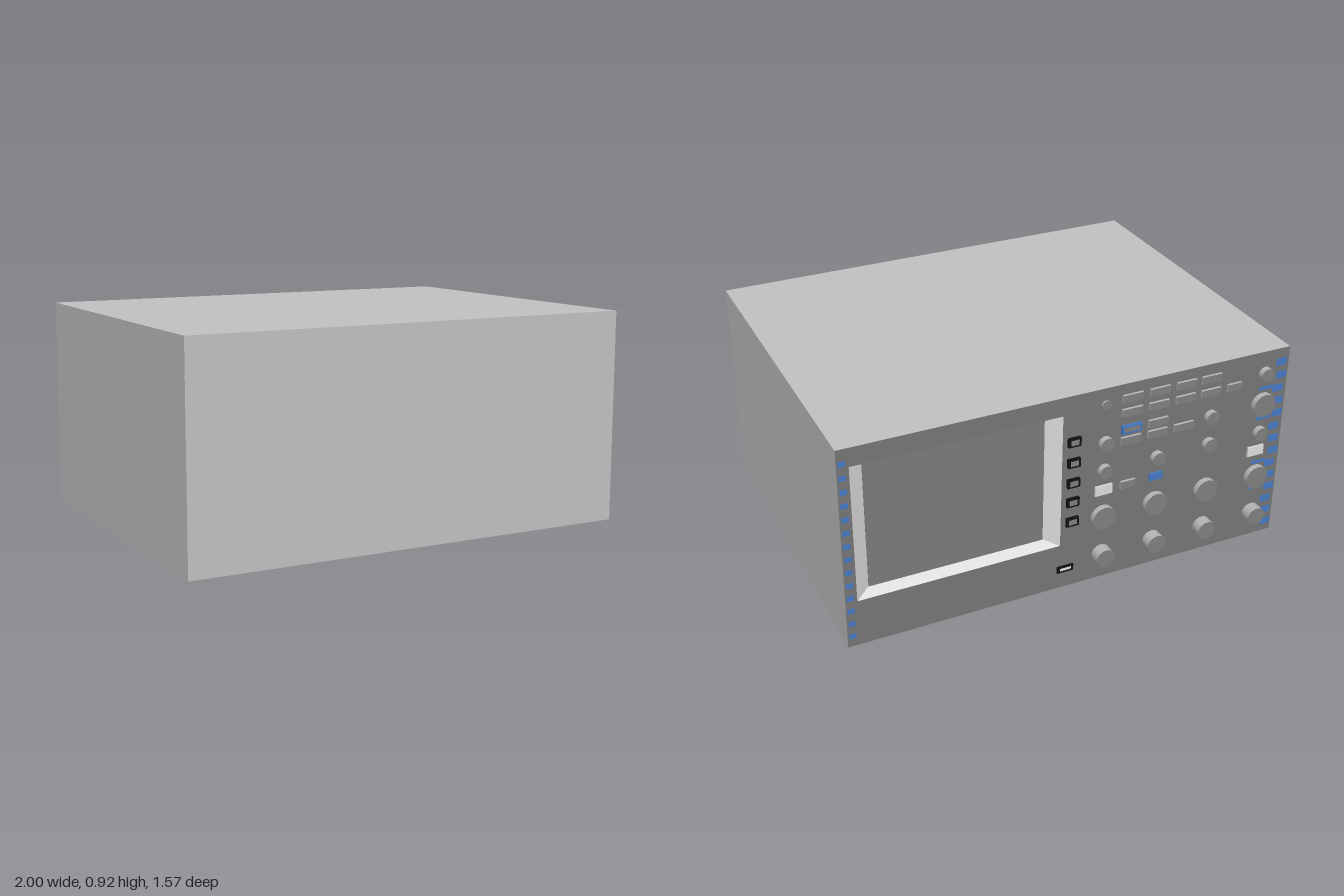
import * as THREE from 'three';

const mat = (name, color, side = THREE.FrontSide) => {
  const m = new THREE.MeshStandardMaterial({ color, side });
  m.name = name;
  return m;
};

export function createModel() {
  const caseGrey = mat('case grey', 0xc0c0c0);
  const panelGrey = mat('panel grey', 0x757575);
  const screenGrey = mat('screen grey', 0x7a7a7a);
  const controlGrey = mat('control side grey', 0xb4b4b4);
  const faceGrey = mat('control face grey', 0x7e7e7e);
  const bezelLight = mat('bezel light grey', 0xdcdcdc, THREE.DoubleSide);
  const black = mat('black', 0x101010);
  const blue = mat('blue', 0x4478c5);

  const model = new THREE.Group();
  model.name = 'benchInstrument';
  const PANEL = -0.735, FLOOR = -0.685, FRONT = 0.785, H = 0.92;

  const add = (name, geometry, material, x = 0, y = 0, z = 0) => {
    const mesh = new THREE.Mesh(geometry, material);
    mesh.name = name;
    mesh.position.set(x, y, z);
    model.add(mesh);
    return mesh;
  };
  // block standing out from the panel, with its own outward face
  const block = (name, x, y, w, h, d, side, face = side) =>
    add(name, new THREE.BoxGeometry(w, h, d), [side, side, side, side, side, face], x, y, PANEL - d / 2);
  // round knob standing out from the panel
  const knob = (name, x, y, r, d) => {
    const g = new THREE.CylinderGeometry(r, r, d, 32).rotateX(-Math.PI / 2);
    return add(name, g, [controlGrey, faceGrey, faceGrey], x, y, PANEL - d / 2);
  };

  // case
  const depth = FRONT - FLOOR;
  add('case', new THREE.BoxGeometry(2, H, depth), caseGrey, 0, H / 2, FLOOR + depth / 2);

  // control panel slab with the display opening
  const rect = (P, x0, y0, x1, y1) => {
    const p = new P();
    p.moveTo(x0, y0);
    p.lineTo(x1, y0);
    p.lineTo(x1, y1);
    p.lineTo(x0, y1);
    p.closePath();
    return p;
  };
  const outer = [0.06, 0.215, 0.95, 0.837];
  const inner = [0.118, 0.234, 0.885, 0.81];
  const slab = rect(THREE.Shape, -1, 0, 1, H);
  slab.holes.push(rect(THREE.Path, ...outer));
  const slabGeometry = new THREE.ExtrudeGeometry(slab, { depth: FLOOR - PANEL, bevelEnabled: false });
  add('controlPanel', slabGeometry, [panelGrey, caseGrey], 0, 0, PANEL);

  // sloping bezel from the opening down to the screen
  const ring = ([x0, y0, x1, y1], z) => [[x0, y0, z], [x1, y0, z], [x1, y1, z], [x0, y1, z]];
  const a = ring(outer, PANEL), b = ring(inner, FLOOR - 0.001);
  const points = [];
  for (let i = 0; i < 4; i++) {
    const j = (i + 1) % 4;
    points.push(...a[i], ...b[i], ...b[j], ...a[i], ...b[j], ...a[j]);
  }
  const bezel = new THREE.BufferGeometry();
  bezel.setAttribute('position', new THREE.Float32BufferAttribute(points, 3));
  bezel.computeVertexNormals();
  add('screenBezel', bezel, bezelLight);
  add('screen', new THREE.BoxGeometry(inner[2] - inner[0], inner[3] - inner[1], 0.004), screenGrey,
    (inner[0] + inner[2]) / 2, (inner[1] + inner[3]) / 2, FLOOR - 0.001);

  // soft keys beside the screen
  for (const y of [0.711, 0.613, 0.517, 0.424, 0.328]) {
    block('softKey', 0.01, y, 0.056, 0.04, 0.014, black);
    add('softKeyFace', new THREE.BoxGeometry(0.036, 0.024, 0.002), faceGrey, 0.01, y, PANEL - 0.0145);
  }

  // knobs in four columns
  const columns = [-0.133, -0.38, -0.63, -0.885];
  for (const x of columns) {
    knob('largeKnob', x, 0.313, 0.053, 0.026);
    knob('inputConnector', x, 0.124, 0.042, 0.05);
  }
  knob('largeKnob', columns[3], 0.672, 0.053, 0.026);
  const smallKnobs = [[0, 0.669], [0, 0.538], [1, 0.538], [2, 0.672], [2, 0.54], [3, 0.818], [3, 0.532]];
  for (const [c, y] of smallKnobs) knob('smallKnob', columns[c], y, 0.03, 0.026);
  knob('indicator', -0.13, 0.845, 0.02, 0.008);

  // menu buttons
  const buttonRows = [
    [0.855, [-0.25, -0.375, -0.5, -0.62]],
    [0.79, [-0.25, -0.375, -0.5, -0.62, -0.735]],
    [0.709, [-0.375]],
    [0.658, [-0.25, -0.375, -0.5]],
    [0.445, [-0.245]],
  ];
  for (const [y, xs] of buttonRows)
    for (const x of xs)
      block('menuButton', x, y, x === -0.735 || y < 0.5 ? 0.068 : 0.092, 0.034, 0.012, controlGrey, faceGrey);
  block('blueButton', -0.25, 0.711, 0.092, 0.038, 0.012, blue);
  add('blueButtonFace', new THREE.BoxGeometry(0.07, 0.02, 0.002), faceGrey, -0.25, 0.711, PANEL - 0.0125);
  block('channelButton', columns[1], 0.445, 0.062, 0.036, 0.008, blue);
  for (const x of [columns[0], columns[3] + 0.01])
    block('lightButton', x, 0.443, 0.08, 0.046, 0.008, bezelLight);

  // data socket
  block('socketFrame', 0.035, 0.094, 0.075, 0.032, 0.006, black);
  add('socketTongue', new THREE.BoxGeometry(0.05, 0.012, 0.002), bezelLight, 0.035, 0.094, PANEL - 0.0065);

  // broken blue trim along both ends of the panel
  for (let i = 0; i < 14; i++) {
    const y = 0.05 + i * 0.062;
    block('leftTrim', 0.978, y, 0.03, 0.024, 0.001, blue);
    block('rightTrim', -0.97 + (i % 3) * 0.006, y, 0.05, 0.034, 0.001, blue);
  }
  for (const y of [0.25, 0.38, 0.6, 0.745]) block('knobMark', -0.9, y, 0.07, 0.016, 0.001, blue);

  return model;
}
